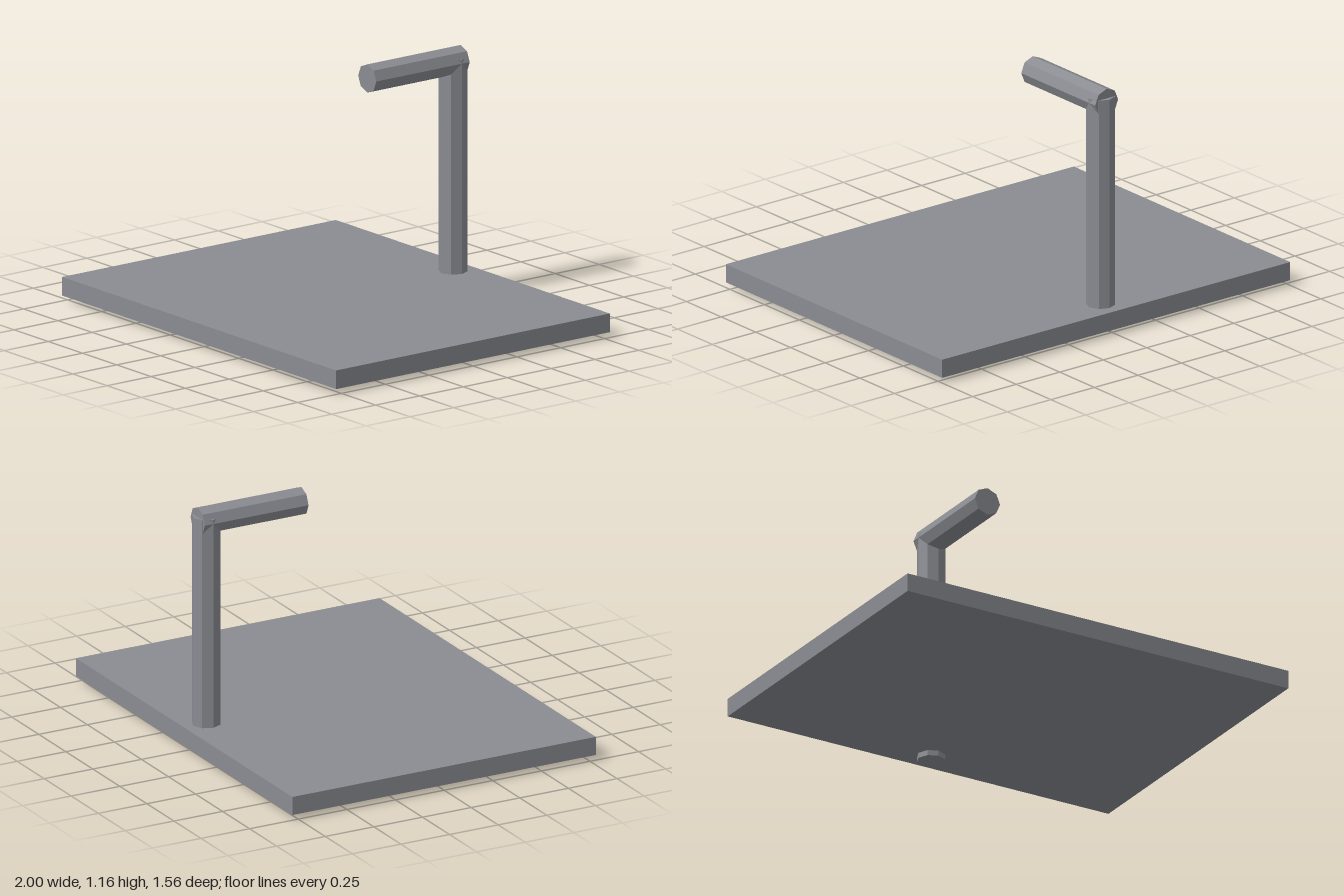
import * as THREE from 'three';

export function createModel() {
  const model = new THREE.Group();
  const grey = new THREE.MeshStandardMaterial({ color: 0x8a8c92, flatShading: true });
  grey.name = 'steel grey';

  const add = (name, geometry, x, y, z) => {
    const mesh = new THREE.Mesh(geometry, grey);
    mesh.name = name;
    mesh.position.set(x, y, z);
    model.add(mesh);
    return mesh;
  };

  // Flat slab
  add('basePlate', new THREE.BoxGeometry(2, 0.087, 1.56), 0, 0.0685, 0);

  // Octagonal upright, passing through the slab
  const radius = 0.066;
  add('post', new THREE.CylinderGeometry(radius, radius, 1.112, 8), 0, 0.556, -0.667);

  // Octagonal arm reaching forward from the top of the post
  const arm = new THREE.CylinderGeometry(radius, radius, 0.533, 8).rotateX(Math.PI / 2);
  add('spout', arm, 0, 1.092, -0.4445);

  return model;
}
